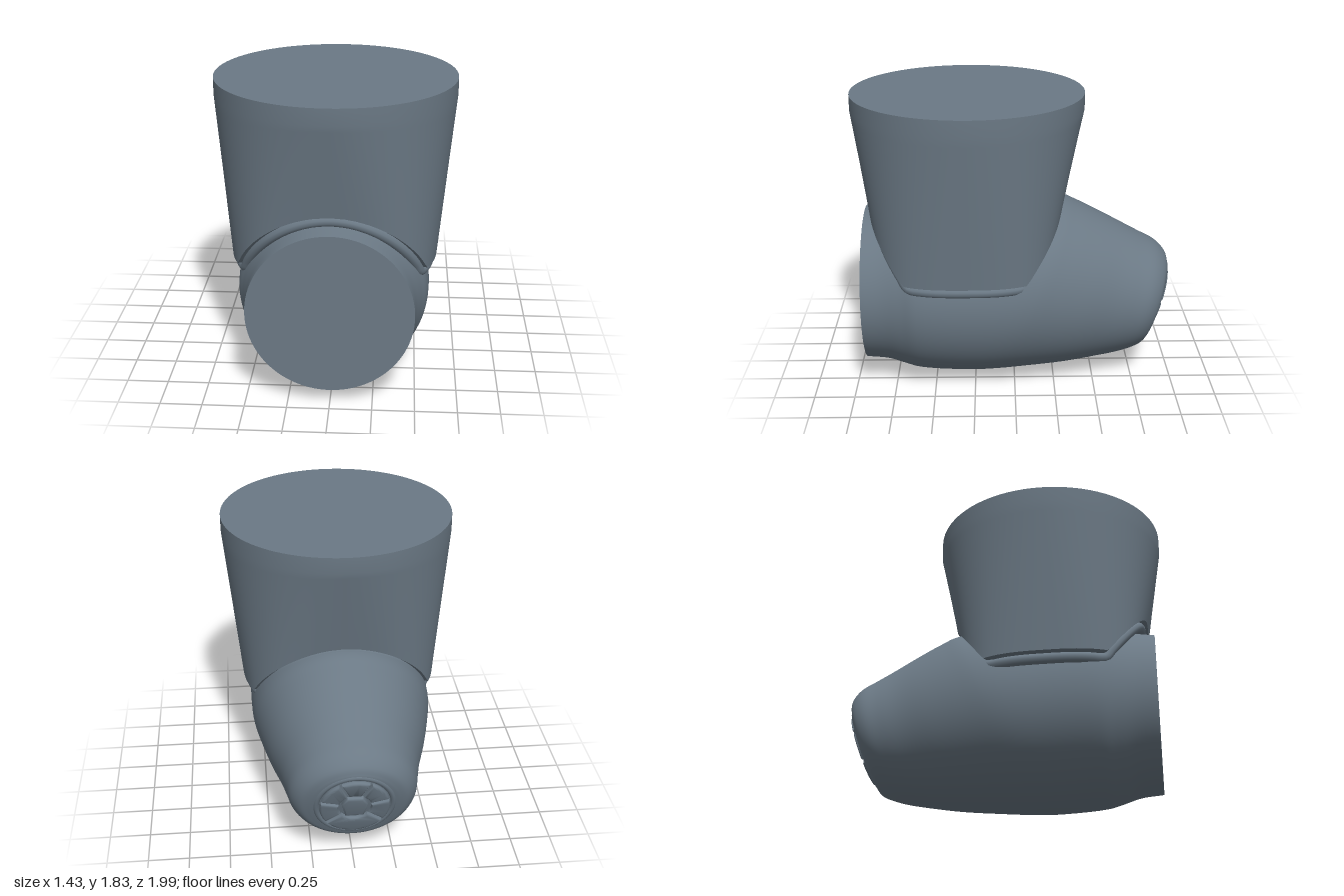
import * as THREE from 'three';
import { toCreasedNormals } from 'three/addons/utils/BufferGeometryUtils.js';

const SIDES = 96;

// Skin a stack of closed rings; point(row, angle) returns [x, y, z].
function loft(rows, point, crease = 0.7) {
  const pos = [], idx = [];
  for (let i = 0; i < rows; i++)
    for (let j = 0; j < SIDES; j++) pos.push(...point(i, (j / SIDES) * Math.PI * 2));
  for (let i = 0; i < rows - 1; i++)
    for (let j = 0; j < SIDES; j++) {
      const k = (j + 1) % SIDES;
      const a = i * SIDES + j, b = a + SIDES, c = i * SIDES + k, d = c + SIDES;
      idx.push(a, b, c, c, b, d);
    }
  const g = new THREE.BufferGeometry();
  g.setAttribute('position', new THREE.Float32BufferAttribute(pos, 3));
  g.setIndex(idx);
  return toCreasedNormals(g, crease);
}

// Body sections, front to back: bottom z, y; top z, y; half width
const SECTIONS = [
  [0.94, 0.09, 0.94, 1.07, 0.49], [0.80, 0.075, 0.82, 1.09, 0.50],
  [0.70, 0.045, 0.70, 1.12, 0.53], [0.60, 0.02, 0.60, 1.145, 0.565],
  [0.30, 0.0, 0.20, 1.15, 0.575], [0.16, 0.003, -0.30, 1.14, 0.565],
  [-0.05, 0.018, -0.40, 1.10, 0.535], [-0.30, 0.04, -0.54, 1.03, 0.485],
  [-0.50, 0.07, -0.69, 0.95, 0.43], [-0.65, 0.10, -0.80, 0.89, 0.40],
  [-0.74, 0.13, -0.91, 0.83, 0.375], [-0.795, 0.155, -0.97, 0.765, 0.325],
  [-0.815, 0.19, -0.985, 0.71, 0.26],
];

function bodyGeometry() {
  const curve = (f) => new THREE.CatmullRomCurve3(SECTIONS.map((s) => new THREE.Vector3(...f(s))));
  const low = curve((s) => [s[4], s[1], s[0]]);
  const high = curve((s) => [s[4], s[3], s[2]]);
  const steps = 60;
  return loft(steps + 3, (i, a) => {
    const t = THREE.MathUtils.clamp((i - 1) / steps, 0, 1);
    const b = low.getPoint(t), u = high.getPoint(t);
    const r = i === 0 || i === steps + 2 ? 0 : 1; // closed ends
    const s = r * Math.sin(a) * 0.5;
    return [r * Math.cos(a) * (b.x + u.x) / 2, (b.y + u.y) / 2 + s * (u.y - b.y), (b.z + u.z) / 2 + s * (u.z - b.z)];
  });
}

// Saddle-shaped lower edge of the sleeve
const CZ = 0.285;
function edge(a, inset = 0, drop = 0) {
  const p = 2 / 2.8, c = Math.cos(a), s = Math.sin(a);
  const x = Math.sign(c) * Math.abs(c) ** p * 0.62;
  const z = -Math.sign(s) * Math.abs(s) ** p * 0.6;
  const arch = 0.575 + Math.sqrt(Math.max(0, 0.59 ** 2 - x * x));
  const y = 0.77 + Math.max(0, arch - 0.77);
  return [x * (1 - inset), y - drop, CZ + 0.015 + z * (1 - inset)];
}

function sleeveGeometry() {
  const steps = 16;
  return loft(steps + 5, (i, a) => {
    const x = 0.717 * Math.cos(a), z = CZ - 0.717 * Math.sin(a);
    if (i === 0) return [0, 1.83, CZ];
    if (i === 1) return [x, 1.83, z];
    if (i === steps + 3) return edge(a, 0.07, 0.005);
    if (i === steps + 4) return edge(a, 0.2, 0.1);
    const t = (i - 2) / steps, e = edge(a);
    return [x + (e[0] - x) * t, 1.73 + (e[1] - 1.73) * t, z + (e[2] - z) * t];
  });
}

// Rounded bead running under the sleeve edge
function beadGeometry() {
  const pts = [];
  for (let i = 0; i < 80; i++) pts.push(new THREE.Vector3(...edge((i / 80) * Math.PI * 2, 0.075, 0.035)));
  return new THREE.TubeGeometry(new THREE.CatmullRomCurve3(pts, true), 200, 0.032, 10, true);
}

// Pad with softened edges
function padGeometry(points) {
  return toCreasedNormals(new THREE.ExtrudeGeometry(new THREE.Shape(points), {
    depth: 0.022, bevelEnabled: true, bevelThickness: 0.014, bevelSize: 0.014, bevelOffset: -0.014, bevelSegments: 3,
  }), 0.9);
}

function sector(r0, r1, a0, a1) {
  const pts = [], n = 8, gap = 0.008;
  const at = (r, k) => {
    const g = gap / r, a = a0 + g + (a1 - a0 - 2 * g) * k / n;
    pts.push(new THREE.Vector2(r * Math.cos(a), r * Math.sin(a)));
  };
  for (let k = 0; k <= n; k++) at(r1, k);
  for (let k = n; k >= 0; k--) at(r0, k);
  return pts;
}

export function createModel() {
  const slate = new THREE.MeshStandardMaterial({ color: 0x6b7985 });
  slate.name = 'slate';
  const model = new THREE.Group();
  const add = (name, geometry, parent = model) => {
    const m = new THREE.Mesh(geometry, slate);
    m.name = name;
    parent.add(m);
    return m;
  };

  add('body', bodyGeometry());
  add('sleeve', sleeveGeometry());
  add('sleeveBead', beadGeometry());

  // Padded medallion on the tilted rear face
  const medallion = new THREE.Group();
  medallion.name = 'rearMedallion';
  const up = new THREE.Vector3(0, 0.52, -0.17).normalize();
  const out = new THREE.Vector3(0, up.z, -up.y);
  medallion.quaternion.setFromRotationMatrix(
    new THREE.Matrix4().makeBasis(new THREE.Vector3(-1, 0, 0), up, out));
  medallion.position.set(0, 0.45, -0.9).addScaledVector(out, -0.012);
  medallion.scale.set(0.94, 1.06, 1);
  model.add(medallion);

  add('medallionRim', new THREE.TorusGeometry(0.243, 0.02, 10, 64), medallion);
  // Five pads around the top and sides, one wide pad below
  const start = -Math.PI * 0.2, span = Math.PI * 1.4;
  for (let i = 0; i < 5; i++)
    add('outerPad', padGeometry(sector(0.105, 0.222, start + span * i / 5, start + span * (i + 1) / 5)), medallion);
  add('lowerPad', padGeometry(sector(0.105, 0.222, start + span, start + Math.PI * 2)), medallion);
  add('centrePad', padGeometry([[-0.06, -0.075], [0.06, -0.075], [0.085, 0.03], [0.05, 0.08], [-0.05, 0.08], [-0.085, 0.03]]
    .map((p) => new THREE.Vector2(...p))), medallion);

  return model;
}
